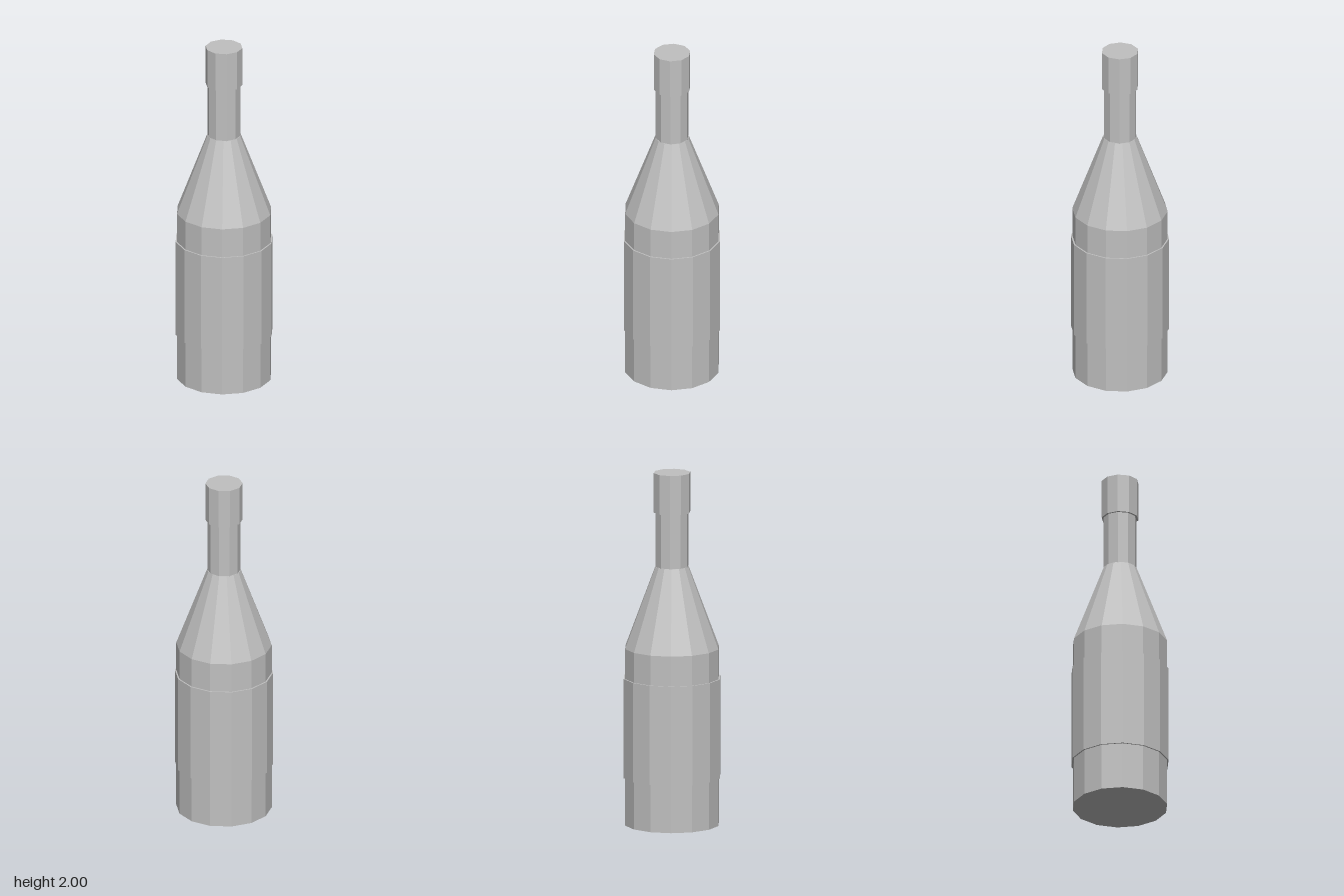
import * as THREE from 'three';

export function createModel() {
  const model = new THREE.Group();
  model.name = 'bottle';

  const grey = new THREE.MeshStandardMaterial({ color: 0xc0c0c0, flatShading: true });
  grey.name = 'light grey';

  // Faceted round section standing between two heights
  function section(name, sides, rBottom, rTop, y0, y1, open = false) {
    const geometry = new THREE.CylinderGeometry(rTop, rBottom, y1 - y0, sides, 1, open);
    const mesh = new THREE.Mesh(geometry, grey);
    mesh.name = name;
    mesh.position.y = (y0 + y1) / 2;
    model.add(mesh);
  }

  // Fourteen-sided body with a raised label band
  section('body', 14, 0.267, 0.267, 0, 1.005);
  section('labelBand', 14, 0.275, 0.275, 0.27, 0.835);
  section('shoulder', 14, 0.267, 0.094, 1.005, 1.467);

  // Ten-sided neck and stopper cap
  section('neck', 10, 0.093, 0.093, 1.46, 1.78, true);
  section('cap', 10, 0.104, 0.104, 1.775, 2);

  return model;
}
